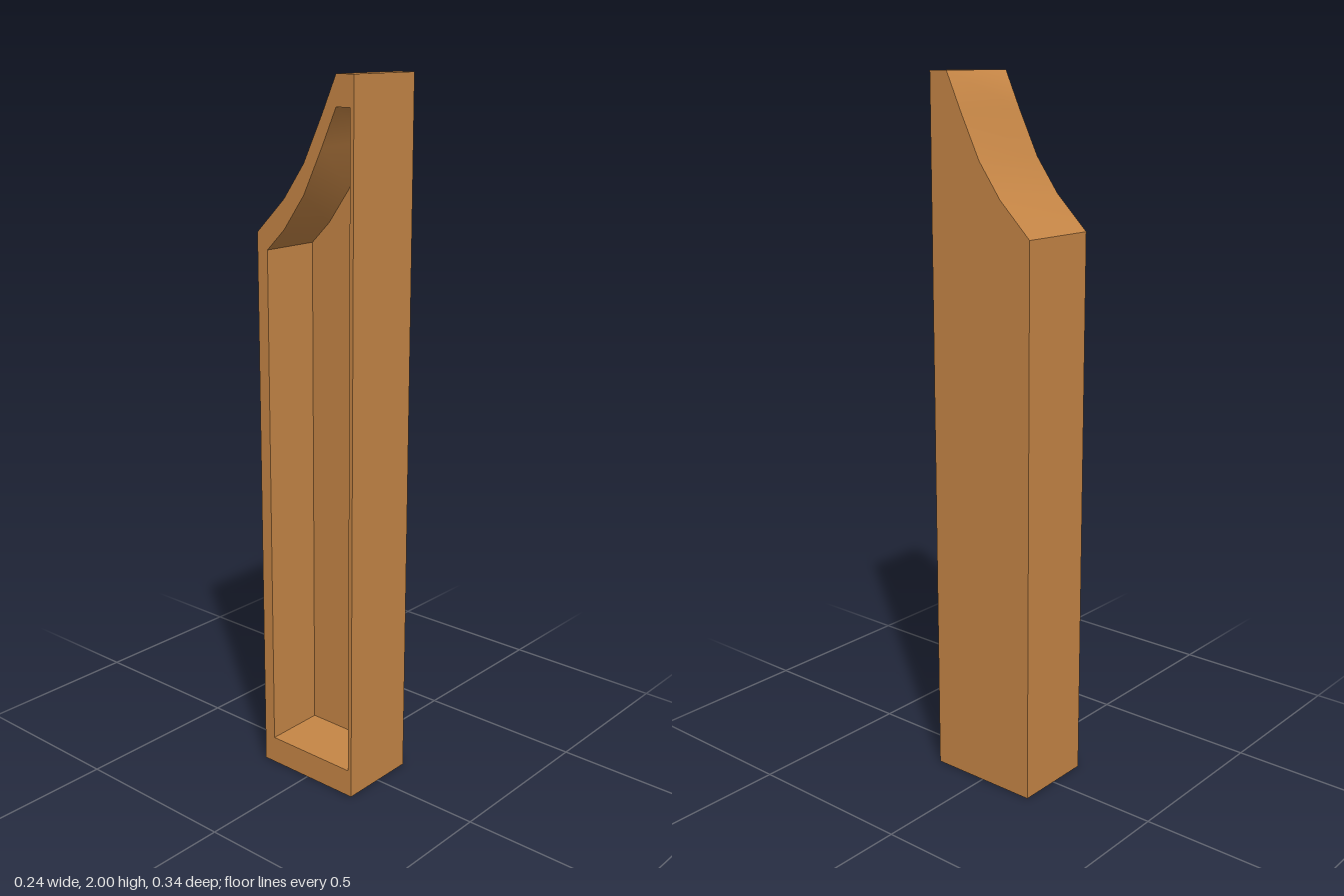
import * as THREE from 'three';
import { mergeGeometries } from 'three/addons/utils/BufferGeometryUtils.js';

const HALF_WIDTH = 0.12;
const CAVITY_BACK = 0.06;

// Side profiles as [z, y]: the top run from front to back, then the lower corners
const outerTop = [[0.168, 2], [0.11, 2], [0.063, 1.9], [0, 1.775], [-0.07, 1.68], [-0.168, 1.585]];
const innerTop = [[0.156, 1.92], [0.11, 1.92], [0.063, 1.82], [0, 1.695], [-0.07, 1.6], [-0.132, 1.54]];
const outerBase = [[-0.168, 0], [0.168, 0]];
const innerBase = [[-0.132, 0.08], [0.156, 0.08]];

// Flat side face at a given x, facing +x or -x
function sideFace(outline, x, facing, hole) {
  const points = (list) => list.map(([z, y]) => new THREE.Vector2(-facing * z, y));
  const shape = new THREE.Shape(points(outline));
  if (hole) shape.holes.push(new THREE.Path(points(hole)));
  return new THREE.ShapeGeometry(shape).rotateY(facing * Math.PI / 2).translate(x, 0, 0);
}

// Smooth strip swept across x along a run of profile points
function strip(run, x0, x1) {
  const position = [], uv = [], index = [];
  run.forEach(([z, y], i) => {
    position.push(x0, y, z, x1, y, z);
    uv.push(0, i, 1, i);
    if (i > 0) {
      const a = 2 * i - 2;
      index.push(a, a + 2, a + 3, a, a + 3, a + 1);
    }
  });
  const geometry = new THREE.BufferGeometry();
  geometry.setAttribute('position', new THREE.Float32BufferAttribute(position, 3));
  geometry.setAttribute('uv', new THREE.Float32BufferAttribute(uv, 2));
  geometry.setIndex(index);
  geometry.computeVertexNormals();
  return geometry;
}

// Closed band of walls: curved top, then sharp back, bottom and front
function walls(top, base, x0, x1) {
  const corners = [top[top.length - 1], ...base, top[0]];
  const runs = [top];
  for (let i = 0; i < 3; i++) runs.push([corners[i], corners[i + 1]]);
  return runs.map((run) => strip(run, x0, x1));
}

export function createModel() {
  const wood = new THREE.MeshStandardMaterial({ color: 0xc68646 });
  wood.name = 'warm wood';

  const outer = [...outerTop, ...outerBase];
  const inner = [...innerTop, ...innerBase];
  const model = new THREE.Group();
  model.name = 'hollowPost';

  const add = (name, parts) => {
    const mesh = new THREE.Mesh(mergeGeometries(parts), wood);
    mesh.name = name;
    model.add(mesh);
  };

  // Outer body: solid on the left, open rim on the right
  add('postBody', [
    ...walls(outerTop, outerBase, HALF_WIDTH, -HALF_WIDTH),
    sideFace(outer, HALF_WIDTH, 1),
    sideFace(outer, -HALF_WIDTH, -1, inner),
  ]);

  // Recess lining, following the same curve as the top
  add('recess', [
    ...walls(innerTop, innerBase, -HALF_WIDTH, CAVITY_BACK),
    sideFace(inner, CAVITY_BACK, -1),
  ]);

  return model;
}
